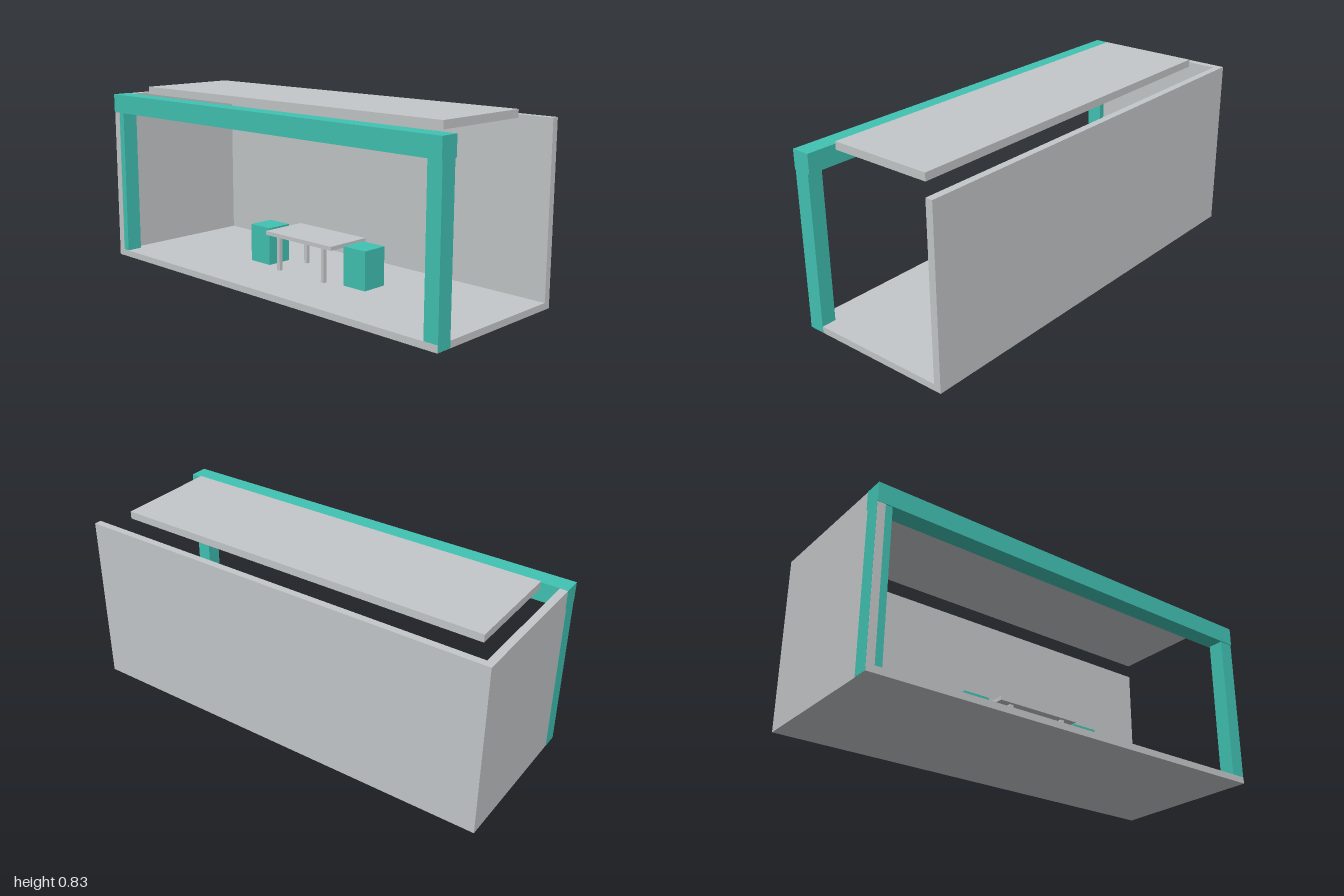
import * as THREE from 'three';

export function createModel() {
  const model = new THREE.Group();
  model.name = 'openBooth';
  const grey = new THREE.MeshStandardMaterial({ color: 0xc4c7c9 });
  grey.name = 'pale grey';
  const teal = new THREE.MeshStandardMaterial({ color: 0x41c2b3 });
  teal.name = 'teal';

  // Box given by its minimum and maximum corners
  function box(name, material, [x0, y0, z0], [x1, y1, z1], parent = model) {
    const mesh = new THREE.Mesh(new THREE.BoxGeometry(x1 - x0, y1 - y0, z1 - z0), material);
    mesh.position.set((x0 + x1) / 2, (y0 + y1) / 2, (z0 + z1) / 2);
    mesh.name = name;
    parent.add(mesh);
    return mesh;
  }

  // Shell: floor, back wall and one closed end; the +x end stays open
  box('floor', grey, [-0.999, 0, -0.375], [0.999, 0.03, 0.374]);
  box('backWall', grey, [-0.999, 0.03, -0.375], [0.999, 0.8, -0.342]);
  box('endWall', grey, [-0.999, 0.03, -0.342], [-0.964, 0.8, 0.374]);

  // Front frame: the posts lap the outer faces of floor and wall
  box('frontBeam', teal, [-1, 0.714, 0.29], [1, 0.801, 0.376]);
  box('rightPost', teal, [-1, 0.001, 0.298], [-0.932, 0.714, 0.372]);
  box('leftPost', teal, [0.932, 0.001, 0.298], [1, 0.714, 0.372]);

  // Floating roof panel
  box('roofPanel', grey, [-0.9, 0.8, -0.244], [0.9, 0.835, 0.242]);

  // Table with four square legs
  const table = new THREE.Group();
  table.name = 'table';
  model.add(table);
  box('tableTop', grey, [-0.208, 0.19, -0.113], [0.208, 0.208, 0.111], table);
  for (const x of [-0.141, 0.141]) {
    for (const z of [-0.089, 0.087]) {
      box('tableLeg', grey, [x - 0.009, 0.03, z - 0.009], [x + 0.009, 0.19, z + 0.009], table);
    }
  }

  // Block stools at either end of the table
  for (const x of [-0.3, 0.3]) {
    box('stool', teal, [x - 0.063, 0.03, -0.063], [x + 0.063, 0.207, 0.062]);
  }
  return model;
}
